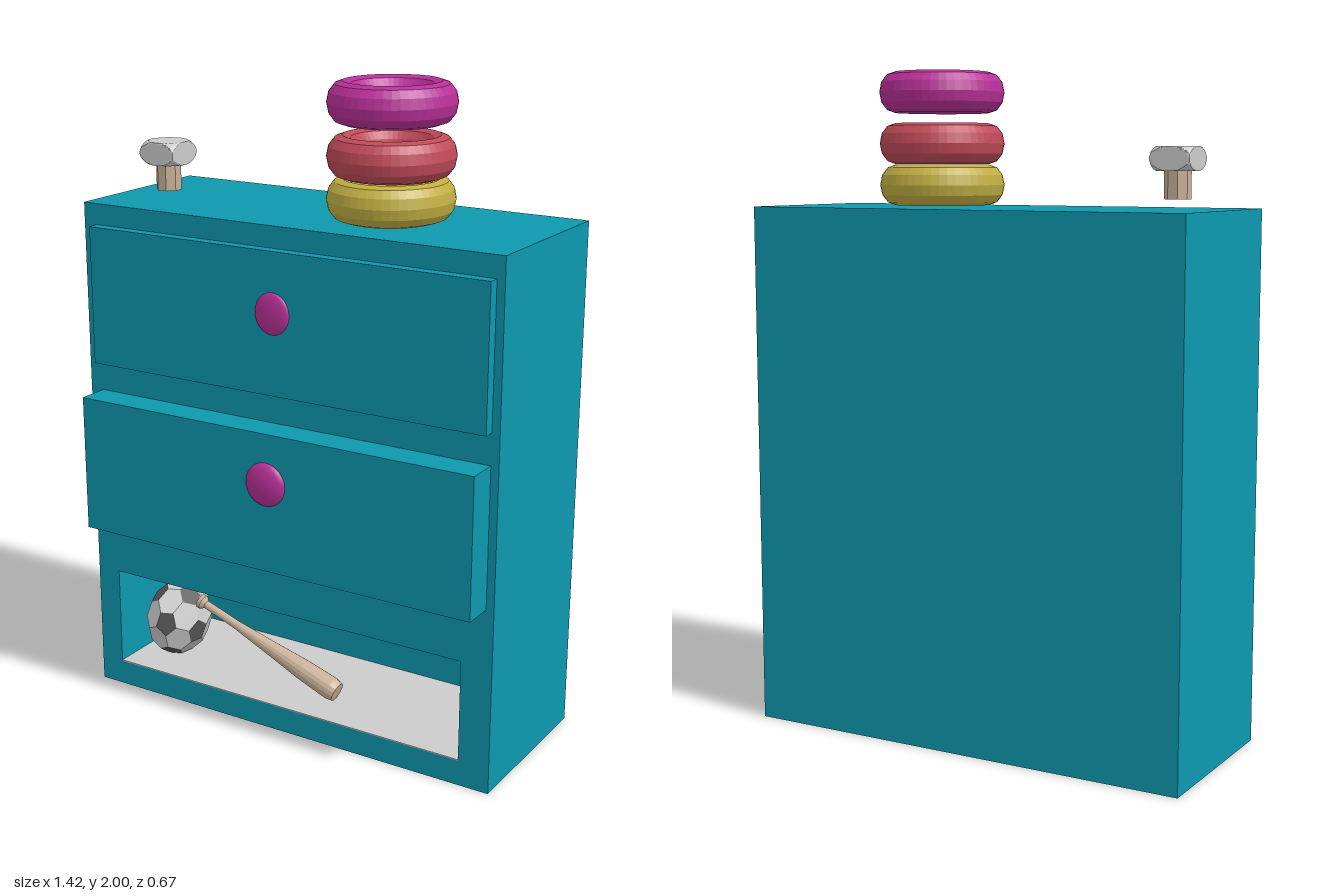
import * as THREE from 'three';

const mat = (color, flatShading = false) => new THREE.MeshStandardMaterial({ color, flatShading });
const TEAL = 0x0d98ae, PURPLE = 0xb83098, GREY = 0xcccccc, WOOD = 0xc8b098;

function add(parent, name, geometry, material, x = 0, y = 0, z = 0) {
  const mesh = new THREE.Mesh(geometry, material);
  mesh.name = name;
  mesh.position.set(x, y, z);
  parent.add(mesh);
  return mesh;
}

// Rectangle outline for a shape or a hole
function rect(path, x0, y0, x1, y1) {
  path.moveTo(x0, y0).lineTo(x1, y0).lineTo(x1, y1).lineTo(x0, y1).closePath();
  return path;
}

// Football panels: hexagons on the faces of an icosahedron, pentagons over its corners
function createBall() {
  const ball = new THREE.Group();
  ball.name = 'ball';
  const p = new THREE.IcosahedronGeometry(1, 0).attributes.position;
  const hex = [], pent = [];
  const tri = (list, ...points) => points.forEach(v => list.push(v.x, v.y, v.z));
  for (let f = 0; f < p.count; f += 3) {
    const c = [0, 1, 2].map(k => new THREE.Vector3().fromBufferAttribute(p, f + k));
    const ring = [];
    const mid = c[0].clone().add(c[1]).add(c[2]).divideScalar(3);
    for (let k = 0; k < 3; k++) {
      const a = c[k], b = c[(k + 1) % 3], d = c[(k + 2) % 3];
      const ab = a.clone().lerp(b, 1 / 3), ad = a.clone().lerp(d, 1 / 3);
      ring.push(ab, a.clone().lerp(b, 2 / 3));
      tri(pent, a.clone().multiplyScalar(a.dot(ab)), ab, ad);
    }
    ring.forEach((v, k) => tri(hex, mid, v, ring[(k + 1) % 6]));
  }
  for (const [name, list, color] of [['lightPanels', hex, GREY], ['darkPanels', pent, 0x555555]]) {
    const g = new THREE.BufferGeometry();
    g.setAttribute('position', new THREE.Float32BufferAttribute(list, 3));
    g.scale(1 / 0.868, 1 / 0.868, 1 / 0.868);
    g.rotateX(0.35).rotateY(0.3);
    g.computeVertexNormals();
    add(ball, name, g, mat(color, true));
  }
  return ball;
}

// Cube whose corners are trimmed by a sphere, leaving a round flat on each side
function trimmedCube(w, h, d) {
  const g = new THREE.BoxGeometry(2, 2, 2, 16, 16, 16);
  const pos = g.attributes.position, v = new THREE.Vector3();
  for (let i = 0; i < pos.count; i++) {
    v.fromBufferAttribute(pos, i).clampLength(0, Math.SQRT2);
    pos.setXYZ(i, v.x, v.y, v.z);
  }
  g.scale(w / 2, h / 2, d / 2);
  g.computeVertexNormals();
  return g;
}

export function createModel() {
  const model = new THREE.Group();
  model.name = 'toyCabinet';
  const teal = mat(TEAL);

  // Cabinet with an open shelf at the bottom
  const cabinet = new THREE.Group();
  cabinet.name = 'cabinet';
  model.add(cabinet);
  const front = rect(new THREE.Shape(), -0.71, 0, 0.71, 1.6);
  front.holes.push(rect(new THREE.Path(), -0.63, 0.08, 0.61, 0.4));
  add(cabinet, 'cabinetBody', new THREE.ExtrudeGeometry(front, { depth: 0.42, bevelEnabled: false }), teal, 0, 0, -0.21);
  add(cabinet, 'cabinetBack', new THREE.BoxGeometry(1.42, 1.6, 0.125), teal, 0, 0.8, -0.2725);
  add(cabinet, 'shelfFloor', new THREE.BoxGeometry(1.24, 0.004, 0.42), mat(GREY), -0.01, 0.081, 0);

  // Drawers and knobs, the lower one pulled out further
  const drawers = [
    { name: 'upper', y: 1.32, z: 0.245, knob: [-0.005, 1.352, 0.058, 0.063, 0.017] },
    { name: 'lower', y: 0.795, z: 0.31, knob: [0.01, 0.855, 0.067, 0.067, 0.026] },
  ];
  for (const { name, y, z, knob } of drawers) {
    const depth = z - 0.2;
    add(model, name + 'Drawer', new THREE.BoxGeometry(1.35, 0.43, depth), teal, 0.01, y, z - depth / 2);
    const [kx, ky, rx, ry, rz] = knob;
    add(model, name + 'Knob', new THREE.SphereGeometry(1, 32, 16), mat(PURPLE), kx, ky, z).scale.set(rx, ry, rz);
  }

  // Stacked rings
  const rings = [['yellowRing', 1.665, 0xc0ae42], ['redRing', 1.788, 0xc04a58], ['purpleRing', 1.94, PURPLE]];
  for (const [name, y, color] of rings) {
    const g = new THREE.TorusGeometry(0.14, 0.045, 12, 48).rotateX(Math.PI / 2);
    add(model, name, g, mat(color, true), 0.222, y, -0.039).scale.set(1, 1.34, 1.06);
  }

  // Small mallet standing on its handle
  const mallet = new THREE.Group();
  mallet.name = 'mallet';
  mallet.position.set(-0.527, 0, 0.022);
  model.add(mallet);
  add(mallet, 'malletHead', trimmedCube(0.124, 0.07, 0.124), mat(GREY, true), 0, 1.743, 0);
  const handle = new THREE.CylinderGeometry(0.039, 0.039, 0.09, 8).rotateY(Math.PI / 8);
  add(mallet, 'malletHandle', handle, mat(WOOD, true), 0, 1.673, 0);

  // Ball on the shelf
  const ball = createBall();
  ball.position.set(-0.514, 0.204, 0.045);
  ball.scale.set(0.099, 0.124, 0.125);
  model.add(ball);

  // Bat lying against the ball
  const profile = [[0, 0], [0.024, 0], [0.024, 0.012], [0.013, 0.024], [0.014, 0.15], [0.024, 0.3],
    [0.033, 0.42], [0.036, 0.53], [0.031, 0.552], [0, 0.552]];
  const bat = add(model, 'bat', new THREE.LatheGeometry(profile.map(([r, y]) => new THREE.Vector2(r, y)), 16),
    mat(WOOD, true), -0.398, 0.303, 0.085);
  bat.rotation.z = -Math.PI / 2 - 0.35;

  return model;
}
